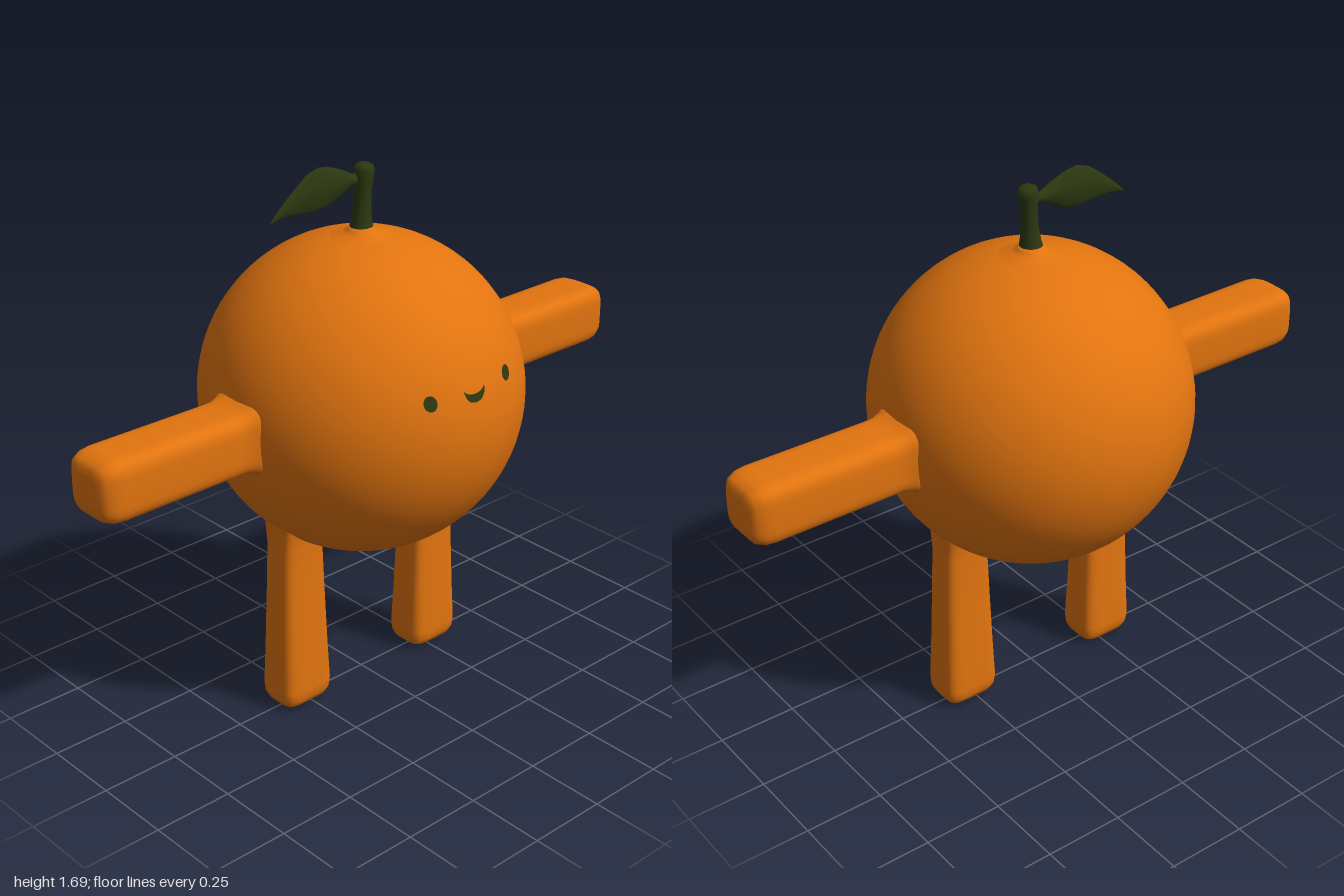
import * as THREE from 'three';

const CENTER_Y = 0.98, RADIUS = 0.49;

// Skin through superellipse rings stacked along +y; each section is [y, halfX, halfZ, offsetX]
function loft(sections, power, segments = 40) {
  const pos = [], index = [];
  const bend = (v) => Math.sign(v) * Math.abs(v) ** (2 / power);
  sections.forEach(([y, hx, hz, ox = 0], r) => {
    for (let i = 0; i < segments; i++) {
      const t = (i / segments) * Math.PI * 2;
      pos.push(ox + hx * bend(Math.cos(t)), y, hz * bend(Math.sin(t)));
      if (r === sections.length - 1) continue;
      const a = r * segments + i, c = r * segments + (i + 1) % segments;
      index.push(a, a + segments, c, c, a + segments, c + segments);
    }
  });
  const g = new THREE.BufferGeometry();
  g.setAttribute('position', new THREE.Float32BufferAttribute(pos, 3));
  g.setIndex(index);
  g.computeVertexNormals();
  return g;
}

// Flat shape laid onto the front of the round body
function faceDecal(shape) {
  const g = new THREE.ShapeGeometry(shape, 16);
  const p = g.attributes.position, r = RADIUS + 0.003;
  for (let i = 0; i < p.count; i++) {
    const x = p.getX(i), y = p.getY(i) - CENTER_Y;
    p.setZ(i, Math.sqrt(r * r - x * x - y * y));
  }
  g.computeVertexNormals();
  return g;
}

const lathe = (points) =>
  new THREE.LatheGeometry(points.map(([x, y]) => new THREE.Vector2(x, y)), 32);

export function createModel() {
  const group = new THREE.Group();
  const orange = new THREE.MeshStandardMaterial({ color: 0xe2740f });
  orange.name = 'orange peel';
  const green = new THREE.MeshStandardMaterial({ color: 0x2c3810 });
  green.name = 'dark green';

  const add = (name, geometry, material) => {
    const mesh = new THREE.Mesh(geometry, material);
    mesh.name = name;
    group.add(mesh);
    return mesh;
  };

  // Round body with a small raised collar under the stem
  add('body', new THREE.SphereGeometry(RADIUS, 64, 48), orange).position.y = CENTER_Y;
  add('collar', lathe([[0.12, 1.452], [0.085, 1.464], [0.055, 1.472], [0.04, 1.481],
    [0.034, 1.491], [0, 1.491]]), orange);

  // Arms and legs, flared where they join the body and rounded at the ends
  const armShape = loft([[0.4, 0.125, 0.125], [0.46, 0.114, 0.114], [0.485, 0.102, 0.102],
    [0.51, 0.095, 0.095], [0.54, 0.094, 0.094], [0.93, 0.095, 0.095], [0.96, 0.092, 0.092],
    [0.985, 0.082, 0.082], [0.997, 0.065, 0.065], [1, 0.045, 0.045], [1, 0, 0]], 4.5);
  const legShape = loft([[-0.72, 0.09, 0.08], [-0.63, 0.078, 0.064], [-0.56, 0.076, 0.057],
    [-0.4, 0.081, 0.061], [-0.2, 0.088, 0.067], [-0.07, 0.093, 0.073], [-0.04, 0.09, 0.07],
    [-0.02, 0.08, 0.061], [-0.008, 0.062, 0.045], [-0.004, 0.04, 0.03], [-0.004, 0, 0]], 4.5);
  for (const [side, s] of [['left', 1], ['right', -1]]) {
    const arm = add(side + 'Arm', armShape, orange);
    arm.rotation.z = -s * Math.PI / 2;
    arm.position.y = 0.977;
    const leg = add(side + 'Leg', legShape, orange);
    leg.rotation.x = Math.PI;
    leg.position.x = s * 0.27;
  }

  // Eyes
  for (const [side, x, y] of [['left', 0.15, 1.128], ['right', -0.15, 1.121]]) {
    const eye = new THREE.Shape().absellipse(x, y, 0.02, 0.022, 0, Math.PI * 2);
    add(side + 'Eye', faceDecal(eye), green);
  }

  // Smiling mouth
  const mouth = new THREE.Shape();
  mouth.moveTo(-0.04, 1.133);
  mouth.quadraticCurveTo(-0.038, 1.094, 0, 1.093);
  mouth.quadraticCurveTo(0.038, 1.094, 0.04, 1.133);
  mouth.quadraticCurveTo(0.03, 1.118, 0, 1.117);
  mouth.quadraticCurveTo(-0.03, 1.118, -0.04, 1.133);
  add('mouth', faceDecal(mouth), green);

  // Slightly leaning stem
  const stem = add('stem', lathe([[0.036, 0], [0.031, 0.02], [0.026, 0.06], [0.025, 0.11],
    [0.029, 0.15], [0.031, 0.172], [0.027, 0.185], [0.015, 0.192], [0, 0.193]]), green);
  stem.position.y = 1.484;
  stem.rotation.z = -0.06;

  // Pointed leaf with a thin lens section, reaching toward the model's right
  const leaf = add('leaf', loft([[0, 0.016, 0.012, 1.632], [0.03, 0.018, 0.014, 1.632],
    [0.06, 0.032, 0.015, 1.634], [0.1, 0.05, 0.016, 1.633], [0.13, 0.06, 0.016, 1.632],
    [0.16, 0.063, 0.015, 1.632], [0.2, 0.056, 0.013, 1.627], [0.24, 0.04, 0.01, 1.615],
    [0.28, 0.023, 0.007, 1.6], [0.32, 0.008, 0.004, 1.58], [0.338, 0, 0, 1.567]], 1.6, 24), green);
  leaf.rotation.z = Math.PI / 2;
  leaf.position.z = -0.006;

  return group;
}
